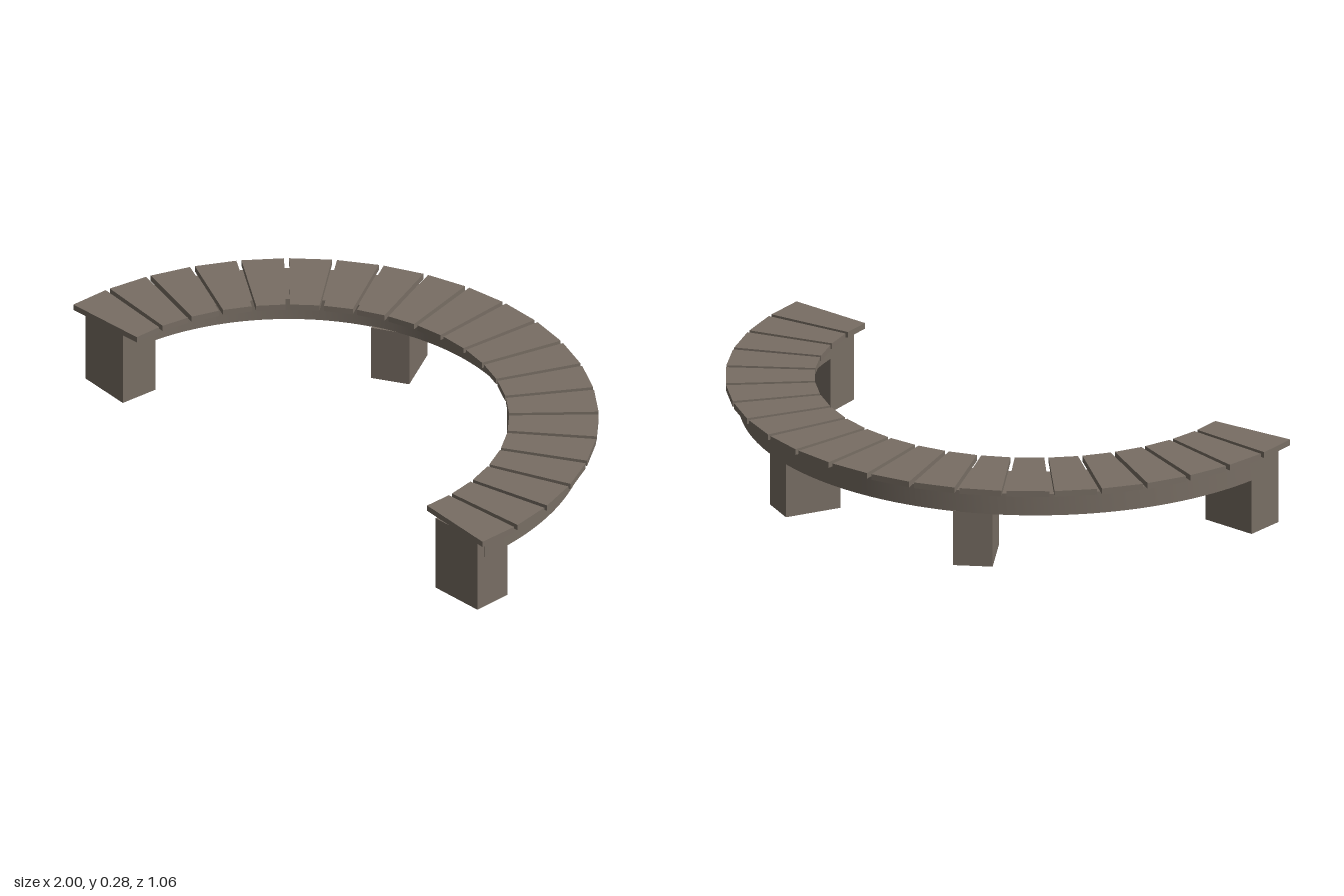
import * as THREE from 'three';
import { toCreasedNormals } from 'three/addons/utils/BufferGeometryUtils.js';

const DEG = Math.PI / 180;
const CENTRE_Z = 0.465; // centre of the arc
const BEAM_X = -0.01;

// Extrude a plan shape (shape y = towards the back) upwards from y0 to y1
function extrudeUp(shape, y0, y1) {
  const g = new THREE.ExtrudeGeometry(shape, { depth: y1 - y0, bevelEnabled: false, curveSegments: 64 });
  g.rotateX(-Math.PI / 2);
  g.translate(0, y0, 0);
  return g;
}

export function createModel() {
  const group = new THREE.Group();
  group.name = 'curvedBench';
  const wood = new THREE.MeshStandardMaterial({ color: 0x786e64 });
  wood.name = 'weatheredWood';

  const add = (geometry, name, x, y, z, angle = 0) => {
    const mesh = new THREE.Mesh(geometry, wood);
    mesh.name = name;
    mesh.position.set(x, y, z);
    mesh.rotation.y = angle;
    group.add(mesh);
  };

  // Half-ring beam under the seat
  const ring = new THREE.Shape();
  ring.absarc(0, 0, 0.965, 0, Math.PI, false);
  ring.absarc(0, 0, 0.77, Math.PI, 0, true);
  add(toCreasedNormals(extrudeUp(ring, 0.188, 0.263), 30 * DEG), 'beam', BEAM_X, 0, CENTRE_Z);

  // Tapered seat slats fanned around the arc, from the left end to the right end
  const slat = new THREE.Shape([
    new THREE.Vector2(-0.048, 0.708), new THREE.Vector2(0.048, 0.708),
    new THREE.Vector2(0.0695, 0.998), new THREE.Vector2(-0.0695, 0.998),
  ]);
  const slatGeometry = extrudeUp(slat, 0.264, 0.284);
  const count = 21;
  for (let i = 0; i < count; i++) {
    const angle = THREE.MathUtils.lerp(89.7, -88.7, i / (count - 1)) * DEG;
    add(slatGeometry, 'seatSlat', 0, 0, CENTRE_Z, angle);
  }

  // Block legs turned towards the arc centre: x, z, width, height, turn
  const legs = [
    ['endLeg', -0.875, 0.433, 0.135, 0.263, 87],
    ['endLeg', 0.855, 0.433, 0.135, 0.263, -87],
    ['rearLeg', -0.363, -0.322, 0.13, 0.19, 31],
    ['rearLeg', 0.333, -0.322, 0.125, 0.19, -28],
  ];
  for (const [name, x, z, width, height, turn] of legs) {
    add(new THREE.BoxGeometry(width, height, 0.195), name, x, height / 2, z, turn * DEG);
  }
  return group;
}
